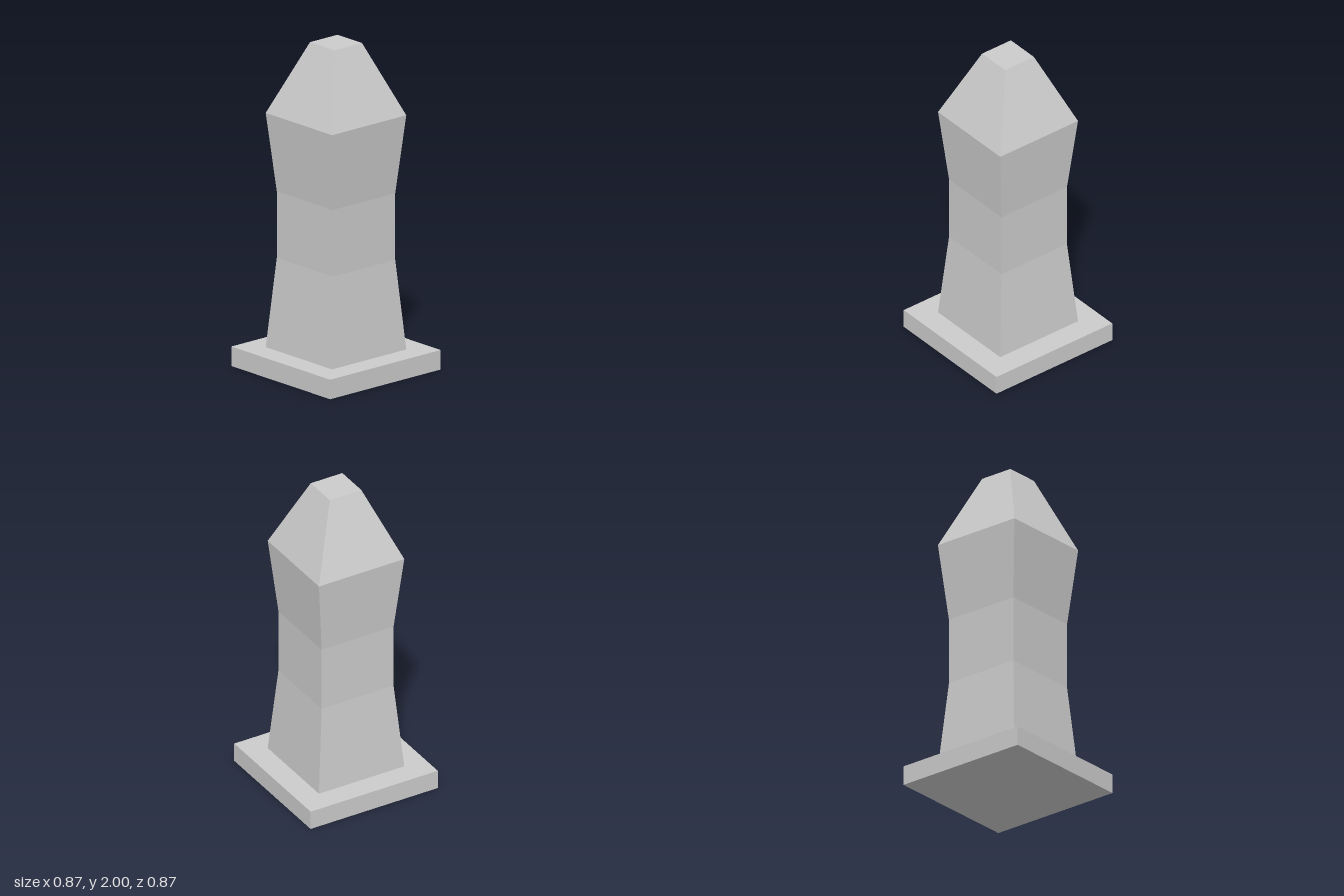
import * as THREE from 'three';

const material = new THREE.MeshStandardMaterial({ color: 0xcccccc, flatShading: true });

// Square tapered block between two heights, given half-widths at bottom and top
function taperedBlock(name, y0, half0, y1, half1, open) {
  const r = Math.SQRT2;
  const indexed = new THREE.CylinderGeometry(half1 * r, half0 * r, y1 - y0, 4, 1, open, Math.PI / 4);
  const geometry = indexed.toNonIndexed();
  geometry.computeVertexNormals();
  geometry.translate(0, (y0 + y1) / 2, 0);
  const mesh = new THREE.Mesh(geometry, material);
  mesh.name = name;
  return mesh;
}

export function createModel() {
  const group = new THREE.Group();
  group.name = 'squarePost';

  // Square plinth
  const plinth = new THREE.Mesh(new THREE.BoxGeometry(0.87, 0.12, 0.87), material);
  plinth.name = 'plinth';
  plinth.position.y = 0.06;
  group.add(plinth);

  // Waisted shaft in three open sections
  group.add(taperedBlock('lowerShaft', 0.12, 0.292, 0.67, 0.246, true));
  group.add(taperedBlock('waist', 0.67, 0.246, 1.08, 0.246, true));
  group.add(taperedBlock('upperShaft', 1.08, 0.246, 1.56, 0.292, true));

  // Truncated pyramid cap with a flat top
  group.add(taperedBlock('cap', 1.56, 0.292, 2, 0.108, false));

  return group;
}
